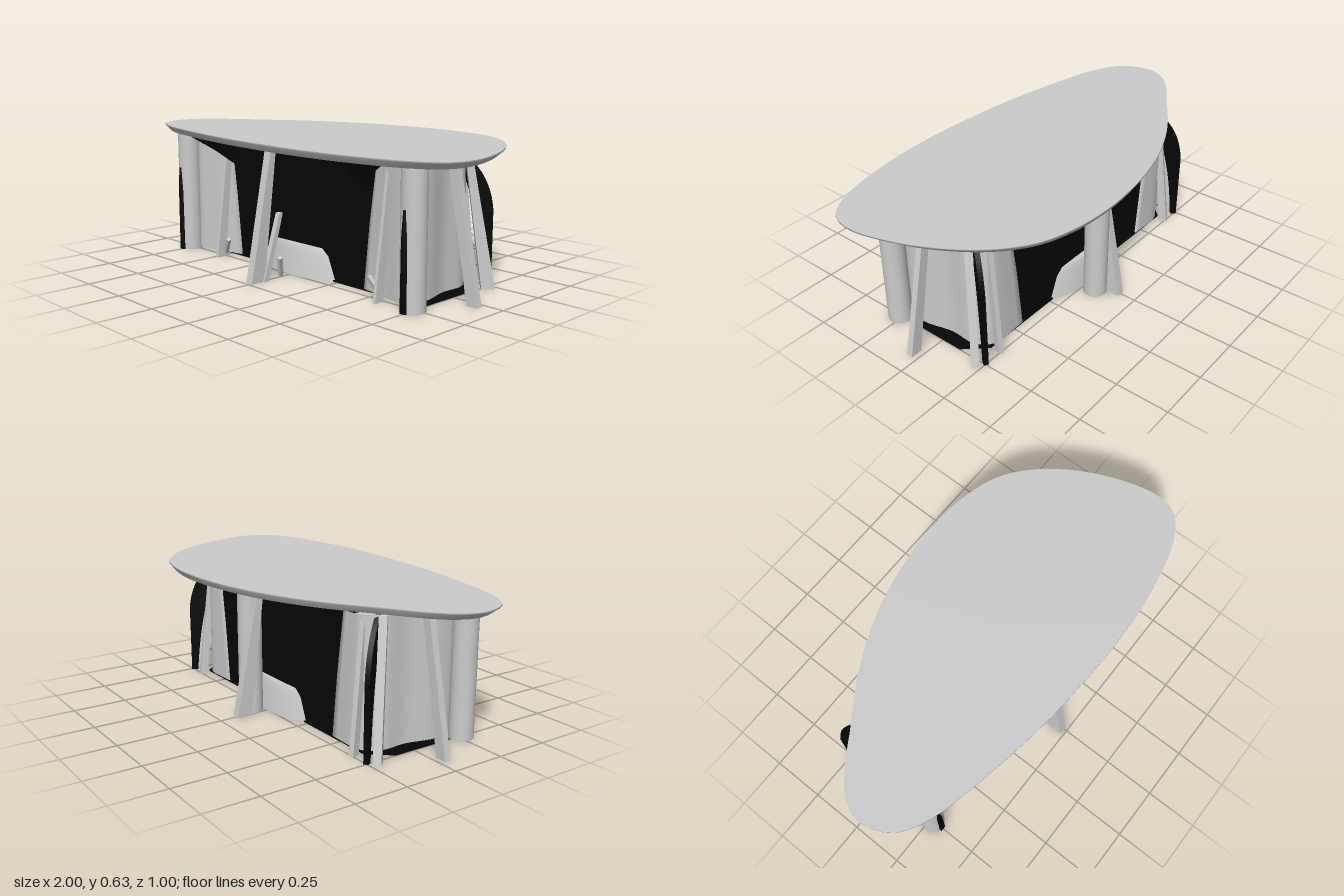
import * as THREE from 'three';

const grey = new THREE.MeshStandardMaterial({ color: 0xcccccc });
const flat = new THREE.MeshStandardMaterial({ color: 0xcccccc, flatShading: true });
const black = new THREE.MeshStandardMaterial({ color: 0x060606, side: THREE.DoubleSide });

// Closed solid from rings of [x, y, z] points, bottom to top, with flat caps
function loft(rings) {
  const n = rings[0].length;
  let area = 0;
  rings[0].forEach((p, i) => {
    const q = rings[0][(i + 1) % n];
    area += p[2] * q[0] - p[0] * q[2];
  });
  if (area < 0) rings = rings.map((r) => [...r].reverse());
  const pos = [], idx = [];
  rings.forEach((r) => r.forEach((p) => pos.push(...p)));
  for (let k = 0; k < rings.length - 1; k++) {
    for (let i = 0; i < n; i++) {
      const j = (i + 1) % n, a = k * n, b = a + n;
      idx.push(a + i, a + j, b + j, a + i, b + j, b + i);
    }
  }
  [0, rings.length - 1].forEach((k) => {
    const r = rings[k], base = pos.length / 3, c = [0, 0, 0];
    r.forEach((p) => { pos.push(...p); p.forEach((v, i) => { c[i] += v / n; }); });
    pos.push(...c);
    for (let i = 0; i < n; i++) {
      const j = (i + 1) % n;
      if (k === 0) idx.push(base + n, base + j, base + i);
      else idx.push(base + n, base + i, base + j);
    }
  });
  const g = new THREE.BufferGeometry();
  g.setAttribute('position', new THREE.Float32BufferAttribute(pos, 3));
  g.setIndex(idx);
  g.computeVertexNormals();
  return g;
}

function ellipseRing(rx, rz, y, n = 64) {
  return Array.from({ length: n }, (_, i) => {
    const a = (i / n) * Math.PI * 2;
    return [rx * Math.cos(a), y, -rz * Math.sin(a)];
  });
}

export function createModel() {
  const model = new THREE.Group();
  const add = (name, geometry, material, x = 0, y = 0, z = 0) => {
    const m = new THREE.Mesh(geometry, material);
    m.name = name;
    m.position.set(x, y, z);
    model.add(m);
    return m;
  };

  // Table top: asymmetric pebble outline with an undercut edge
  const outline = [
    [-1, .13], [-.97, .03], [-.88, -.06], [-.73, -.16], [-.5, -.31], [-.25, -.42], [0, -.48], [.25, -.5],
    [.45, -.48], [.615, -.425], [.765, -.305], [.885, -.135], [.965, .05], [1, .22], [.97, .33], [.85, .41],
    [.6, .47], [.3, .495], [0, .485], [-.3, .455], [-.6, .4], [-.81, .345], [-.945, .265],
  ];
  const curve = new THREE.CatmullRomCurve3(outline.map(([x, z]) => new THREE.Vector3(x, 0, z)), true);
  const edge = curve.getSpacedPoints(96).slice(0, 96);
  const topRing = (s, y) => edge.map((p) => [p.x * s, y, p.z * s]);
  add('tableTop', loft([topRing(.965, .6), topRing(1, .625), topRing(1, .632)]), grey);

  // Dark central core with floor, ribs and top plate
  add('core', new THREE.BoxGeometry(1.0, .59, .39), black, 0, .298, 0);
  const floorRing = (y) => [
    [-.75, .2], [.75, .2], [.75, -.1], [.66, -.2], [-.66, -.2], [-.75, -.1],
  ].map(([x, z]) => [x, y, z]);
  add('floor', loft([floorRing(.001), floorRing(.009)]), black);
  add('topPlate', new THREE.BoxGeometry(1.2, .01, .46), black, 0, .595, .02);
  for (let i = -6; i <= 6; i++) {
    for (const s of [-1, 1]) {
      add('coreRib', new THREE.BoxGeometry(.012, .44, .012), black, i * .065, .37, s * .197);
    }
  }

  // Oval tapered plinth pushing through the core
  add('plinth', loft([ellipseRing(.37, .255, 0), ellipseRing(.345, .235, .11), ellipseRing(.32, .222, .14)]), grey);

  // Pale curved shells wrapping both ends of the core and reaching the front columns
  for (const s of [-1, 1]) {
    const shellRing = (start, y) => new THREE.CatmullRomCurve3([
      [start, .202], [.57, .23], [.7, .245], [.72, .14], [.69, 0], [.69, -.125], [.64, -.195], [start + .03, -.203],
    ].map(([x, z]) => new THREE.Vector3(s * x, y, z))).getPoints(42).map((p) => p.toArray());
    add('endShell', loft([shellRing(.42, .01), shellRing(.45, .3), shellRing(.49, .59)]), grey);
  }

  // Dark gussets flaring out under the top
  for (const s of [-1, 1]) {
    const tri = (y, x0, x1, z) => [[s * x0, y, .15], [s * x1, y, .15], [s * x1, y, z], [s * x0, y, z]];
    add('gusset', loft([tri(.46, .43, .45, .21), tri(.53, .43, .48, .3), tri(.6, .43, .6, .37)]), black);
  }

  // Three round columns
  for (const [x, z] of [[-.75, .265], [.75, .265], [.05, -.31]]) {
    add('column', new THREE.CylinderGeometry(.055, .055, .6, 32), grey, x, .3, z);
  }

  // Dark crescent fins at the rear corners, set diagonally
  const fin = new THREE.Shape();
  fin.moveTo(.03, 0);
  fin.lineTo(0, 0);
  fin.lineTo(0, .34);
  fin.quadraticCurveTo(.015, .5, .14, .595);
  fin.lineTo(.18, .595);
  fin.quadraticCurveTo(.06, .4, .03, 0);
  for (const s of [-1, 1]) {
    const g = new THREE.ExtrudeGeometry(fin, { depth: .022, bevelEnabled: false, curveSegments: 16 });
    g.translate(0, 0, -.011);
    const m = add('rearFin', g, black, s * .75, 0, -.255);
    m.rotation.y = s < 0 ? -.95 : Math.PI + .95;
  }

  // Narrow dark strips on the front columns
  for (const s of [-1, 1]) {
    const strip = (w, y) => [[-w, .3], [w, .3], [w, .328], [-w, .328]].map(([x, z]) => [s * .75 + x, y, z]);
    add('frontStrip', loft([strip(.014, 0), strip(.012, .3), strip(.003, .42)]), black);
  }

  // Tapered plank leaning inward from its foot [x, z] to its head [x, z]
  function plank(name, foot, head, width, footDepth, headDepth, y0 = 0, y1 = .59) {
    const dir = new THREE.Vector2(foot[0] - head[0], foot[1] - head[1]).normalize();
    const ring = ([x, z], depth, y) => [[1, 1], [1, -1], [-1, -1], [-1, 1]].map(([a, b]) => [
      x + (dir.x * a * depth - dir.y * b * width) / 2, y,
      z + (dir.y * a * depth + dir.x * b * width) / 2,
    ]);
    add(name, loft([ring(foot, footDepth, y0), ring(head, headDepth, y1)]), flat);
  }
  plank('frontPlank', [-.01, .45], [-.01, .355], .04, .075, .03);
  plank('frontBrace', [.005, .41], [.005, .32], .025, .03, .02, 0, .3);
  plank('backPlank', [0, -.385], [0, -.29], .04, .075, .03);
  for (const s of [-1, 1]) {
    plank('endPlank', [s * .885, .04], [s * .765, .04], .03, .055, .04);
    plank('cornerPlank', [s * .77, -.21], [s * .7, -.14], .035, .06, .03);
    plank('rearBlade', [s * .65, -.24], [s * .63, -.18], .022, .04, .03);
  }
  for (const x of [-.485, .575]) plank('frontBlade', [x, .28], [x, .21], .016, .05, .03);

  // Small stays near the floor
  for (const [x, z, a] of [[-.46, .26, .6], [.02, .33, .3], [.53, .25, -.6], [.05, -.34, .3]]) {
    const stay = add('stay', new THREE.BoxGeometry(.018, .1, .018), flat, x, .055, z);
    stay.rotation.set(.3 * Math.sign(z), 0, -a);
  }
  return model;
}
